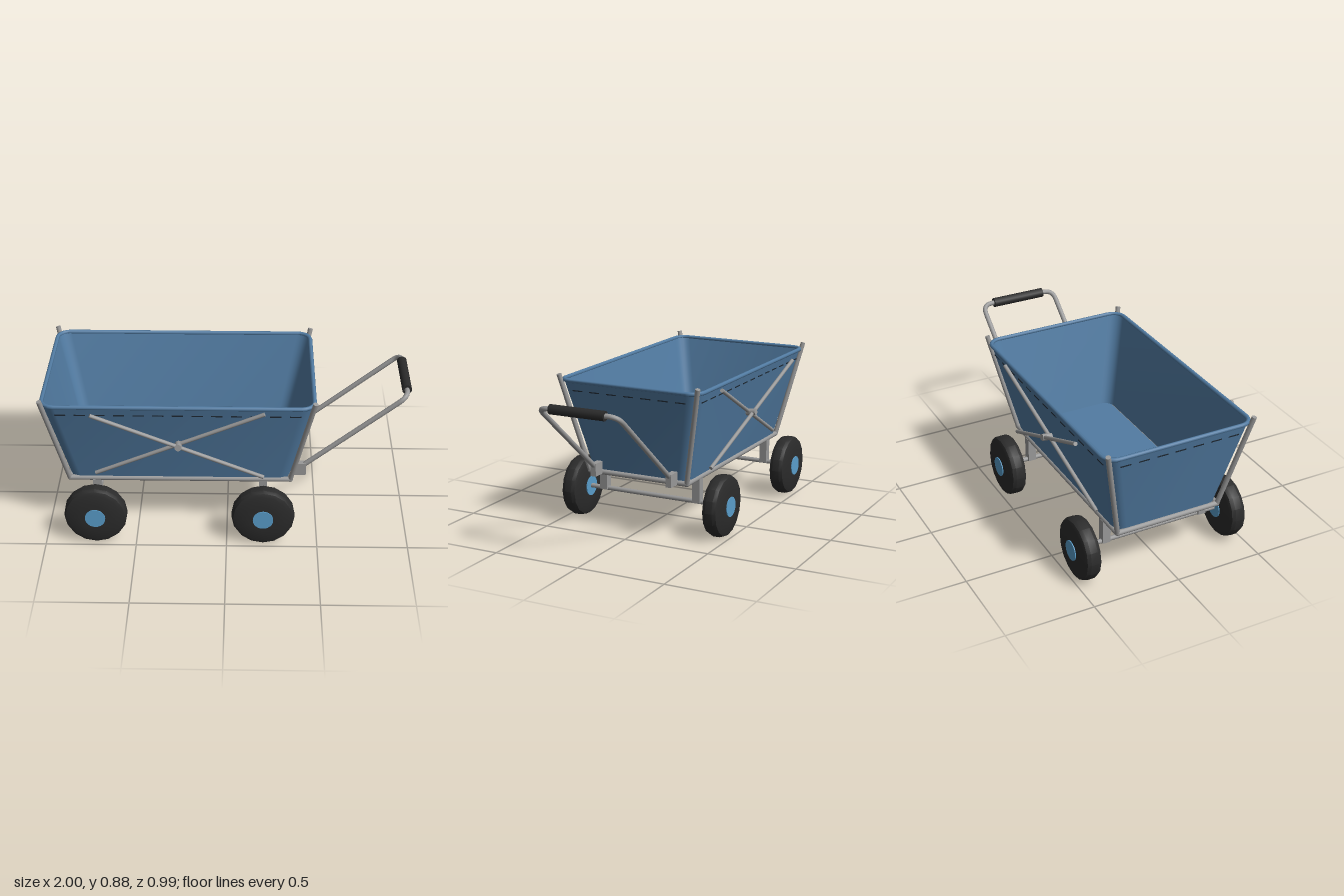
import * as THREE from 'three';
import { toCreasedNormals } from 'three/addons/utils/BufferGeometryUtils.js';

const V = (x, y, z) => new THREE.Vector3(x, y, z);
const mat = (color, extra = {}) => new THREE.MeshStandardMaterial({ color, ...extra });
const CX = -0.26; // middle of the tub along x
const TUB = { y0: 0.32, y1: 0.84, x0: 0.607, x1: 0.725, z0: 0.303, z1: 0.42 };

function add(parent, name, geometry, material, pos = V(0, 0, 0)) {
  const mesh = new THREE.Mesh(geometry, material);
  mesh.name = name;
  mesh.position.copy(pos);
  parent.add(mesh);
  return mesh;
}

// Straight round bar between two points
function rod(parent, name, a, b, r, material) {
  const d = b.clone().sub(a);
  const mesh = add(parent, name, new THREE.CylinderGeometry(r, r, d.length(), 12), material, a.clone().lerp(b, 0.5));
  mesh.quaternion.setFromUnitVectors(V(0, 1, 0), d.normalize());
  return mesh;
}

// Rounded rectangle ring at height y
function ring(y, hx, hz, r, steps = 5) {
  const pts = [];
  [[1, 1], [-1, 1], [-1, -1], [1, -1]].forEach(([sx, sz], q) => {
    for (let i = 0; i <= steps; i++) {
      const a = (q + i / steps) * Math.PI / 2;
      pts.push(V(CX + sx * (hx - r) + r * Math.cos(a), y, sz * (hz - r) + r * Math.sin(a)));
    }
  });
  return pts;
}

// Skin through equal-length rings
function loft(rings) {
  const n = rings[0].length, index = [];
  for (let j = 0; j < rings.length - 1; j++) {
    for (let i = 0; i < n; i++) {
      const a = j * n + i, b = j * n + (i + 1) % n;
      index.push(a, a + n, b, b, a + n, b + n);
    }
  }
  const g = new THREE.BufferGeometry().setFromPoints(rings.flat());
  g.setIndex(index);
  return toCreasedNormals(g, 0.6);
}

export function createModel() {
  const model = new THREE.Group();
  model.name = 'handcart';
  const metal = mat(0x999999), rubber = mat(0x2b2b2b), hubBlue = mat(0x5a9ecb);
  const cloth = mat(0x527ca3, { side: THREE.DoubleSide }), thread = mat(0x1c2630);

  // Fabric tub with floor and thin flared walls
  const t = 0.008, { y0, y1, x0, x1, z0, z1 } = TUB;
  add(model, 'tub', loft([
    ring(y0, 0, 0, 0), ring(y0, x0, z0, 0.06), ring(y1, x1, z1, 0.07),
    ring(y1, x1 - t, z1 - t, 0.066), ring(y0 + t, x0 - t, z0 - t, 0.056), ring(y0 + t, 0, 0, 0),
  ]), cloth);

  // Rolled hem around the top edge
  const rimRings = [];
  for (let i = 0; i <= 8; i++) {
    const a = -i / 8 * Math.PI * 2, o = 0.012 * Math.cos(a);
    rimRings.push(ring(y1 - 0.012 * Math.sin(a), x1 + o, z1 + o, 0.07 + o));
  }
  const rim = add(model, 'rim', loft(rimRings), cloth);
  rim.geometry = toCreasedNormals(rim.geometry, 1);

  // Dashed seam below the hem
  const seam = new THREE.Group();
  seam.name = 'seam';
  model.add(seam);
  const sy = 0.785, k = (sy - y0) / (y1 - y0);
  const sx = x0 + (x1 - x0) * k, sz = z0 + (z1 - z0) * k;
  for (const s of [-1, 1]) {
    for (let i = -6; i <= 6; i++) {
      add(seam, 'sideStitch', new THREE.BoxGeometry(0.06, 0.006, 0.006), thread, V(CX + i * 0.104, sy, s * sz));
    }
    for (let i = -3; i <= 3; i++) {
      add(seam, 'endStitch', new THREE.BoxGeometry(0.006, 0.006, 0.06), thread, V(CX + s * sx, sy, i * 0.104));
    }
  }

  // Base frame and leaning corner posts
  const frame = new THREE.Group();
  frame.name = 'frame';
  model.add(frame);
  const fx = 0.61, fz = 0.3, fy = 0.315;
  for (const s of [-1, 1]) {
    rod(frame, 'sideRail', V(CX - fx, fy, s * fz), V(CX + fx, fy, s * fz), 0.015, metal);
    rod(frame, 'endRail', V(CX + s * fx, fy, -fz), V(CX + s * fx, fy, fz), 0.015, metal);
    for (const e of [-1, 1]) {
      add(frame, 'frameCorner', new THREE.SphereGeometry(0.015, 12, 8), metal, V(CX + e * fx, fy, s * fz));
      rod(frame, 'cornerPost', V(CX + e * fx, fy, s * fz), V(CX + e * 0.728, 0.873, s * 0.42), 0.014, metal);
    }
  }

  // Scissor braces on both long sides
  for (const s of [-1, 1]) {
    const brace = new THREE.Group();
    brace.name = 'crossBrace';
    model.add(brace);
    rod(brace, 'outerBar', V(-0.72, 0.815, s * 0.461), V(0.2, 0.375, s * 0.371), 0.011, metal);
    rod(brace, 'innerBar', V(-0.72, 0.375, s * 0.343), V(0.2, 0.815, s * 0.433), 0.011, metal);
    rod(brace, 'pivot', V(CX, 0.59, s * 0.376), V(CX, 0.598, s * 0.432), 0.019, metal);
  }

  // Axles with hangers and wheels
  const R = 0.173;
  const tirePts = [[0, -0.053], [0.08, -0.053], [0.145, -0.047], [0.164, -0.039], [R, -0.02],
    [R, 0.02], [0.164, 0.039], [0.145, 0.047], [0.08, 0.053], [0, 0.053]];
  const tireGeo = toCreasedNormals(new THREE.LatheGeometry(
    tirePts.map(p => new THREE.Vector2(...p)), 16).rotateX(Math.PI / 2), 0.5);
  const hubGeo = new THREE.CylinderGeometry(0.056, 0.056, 0.116, 24).rotateX(Math.PI / 2);
  for (const x of [-0.72, 0.2]) {
    rod(model, 'axle', V(x, 0.175, -0.42), V(x, 0.175, 0.42), 0.013, metal);
    for (const s of [-1, 1]) {
      add(model, 'axleHanger', new THREE.BoxGeometry(0.045, 0.14, 0.045), metal, V(x, 0.24, s * 0.292));
      const wheel = new THREE.Group();
      wheel.name = 'wheel';
      wheel.position.set(x, R, s * 0.438);
      add(wheel, 'tire', tireGeo, rubber);
      add(wheel, 'hub', hubGeo, hubBlue);
      model.add(wheel);
    }
  }

  // U-shaped pull handle with grip and hinge blocks
  const foot = V(0.4, 0.347, 0), top = V(0.973, 0.813, 0), w = 0.232, c = 0.06;
  const dir = top.clone().sub(foot).normalize();
  const at = (p, z) => V(p.x, p.y, z);
  const knee = top.clone().addScaledVector(dir, -c);
  const path = new THREE.CurvePath();
  path.add(new THREE.LineCurve3(at(foot, w), at(knee, w)));
  path.add(new THREE.QuadraticBezierCurve3(at(knee, w), at(top, w), at(top, w - c)));
  path.add(new THREE.LineCurve3(at(top, w - c), at(top, c - w)));
  path.add(new THREE.QuadraticBezierCurve3(at(top, c - w), at(top, -w), at(knee, -w)));
  path.add(new THREE.LineCurve3(at(knee, -w), at(foot, -w)));
  add(model, 'handle', new THREE.TubeGeometry(path, 120, 0.014, 12), metal);
  rod(model, 'grip', at(top, -0.16), at(top, 0.16), 0.027, rubber);
  for (const s of [-1, 1]) {
    add(model, 'handleHinge', new THREE.BoxGeometry(0.074, 0.072, 0.034), metal, V(0.4, 0.345, s * w));
  }
  return model;
}
